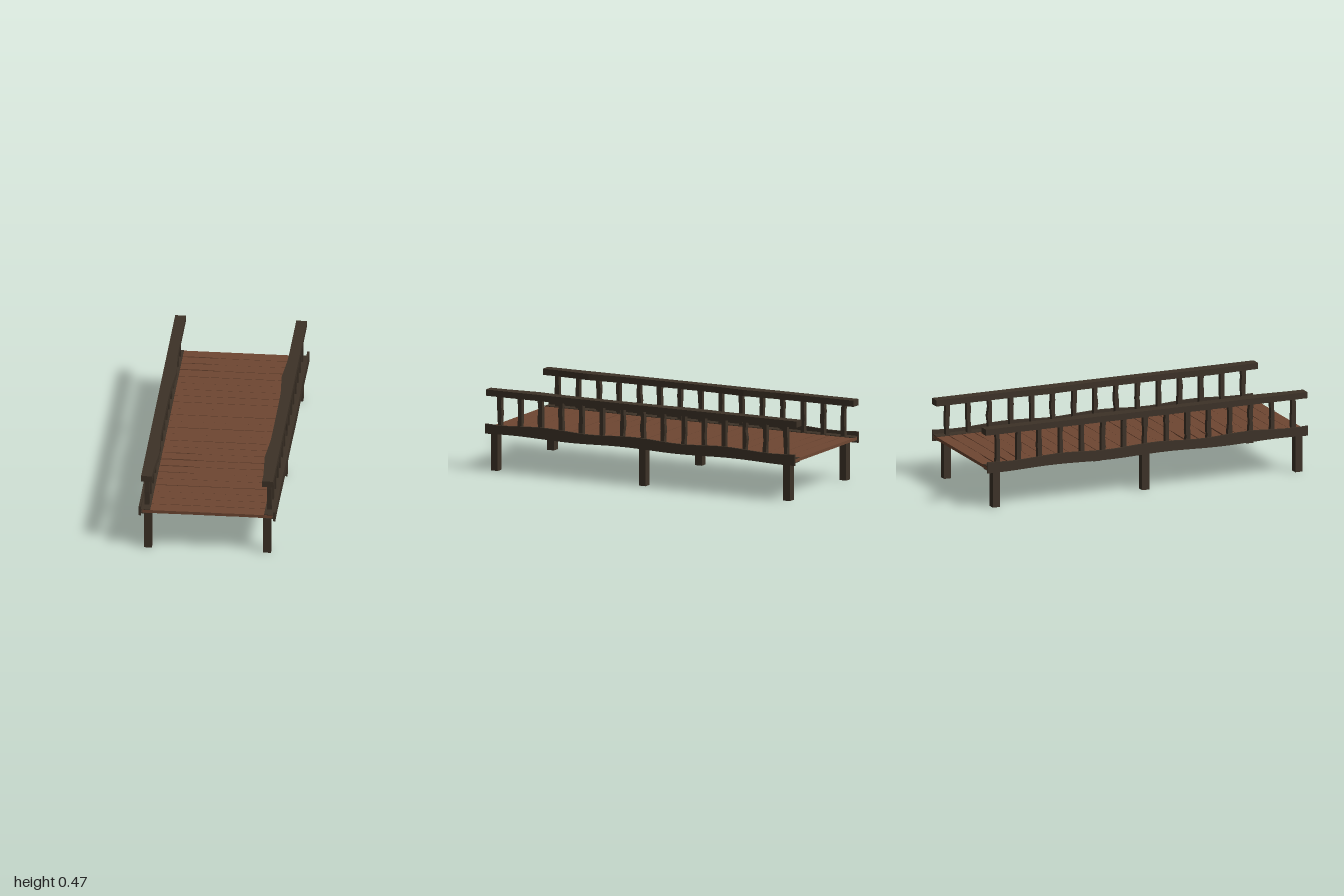
import * as THREE from 'three';

const darkWood = new THREE.MeshStandardMaterial({ color: 0x3d3227, flatShading: true });
const deckWood = new THREE.MeshStandardMaterial({ color: 0x6f4732, flatShading: true });

// Small seeded noise in -1..1
let seed = 7;
const noise = () => {
  seed = (seed * 16807) % 2147483647;
  return (seed / 2147483647) * 2 - 1;
};

// Timber between two corners, with optional segments and a vertex rule
function timber(name, material, [x0, x1], [y0, y1], [z0, z1], segments = [1, 1, 1], rule) {
  const geometry = new THREE.BoxGeometry(x1 - x0, y1 - y0, z1 - z0, ...segments);
  if (rule) {
    const p = geometry.attributes.position;
    const v = new THREE.Vector3();
    for (let i = 0; i < p.count; i++) {
      v.fromBufferAttribute(p, i);
      rule(v);
      p.setXYZ(i, v.x, v.y, v.z);
    }
    geometry.computeVertexNormals();
  }
  const mesh = new THREE.Mesh(geometry, material);
  mesh.name = name;
  mesh.position.set((x0 + x1) / 2, (y0 + y1) / 2, (z0 + z1) / 2);
  return mesh;
}

// Mirrors an x range onto the chosen side
const onSide = (side, a, b) => (side > 0 ? [a, b] : [-b, -a]);

function createDeck() {
  const deck = new THREE.Group();
  deck.name = 'deck';
  const count = 25, pitch = 1.984 / count;
  const openJoints = [1, 2, 3, 16, 17, 18, 19];
  for (let i = 0; i < count; i++) {
    const z = -0.992 + pitch * (i + 0.5);
    const wear = Array.from({ length: 9 }, () => 0.0012 * (1 + noise()));
    // Worn front edge: wider gaps near the ends at the open joints
    if (openJoints.includes(i + 1)) {
      wear[1] = wear[2] = 0.008;
      wear[7] = 0.006;
    }
    const lift = 0.001 * noise();
    const plank = timber('plank', deckWood, [-0.37, 0.37], [0.23, 0.248],
      [z - pitch / 2 + 0.0008, z + pitch / 2 - 0.0008], [8, 1, 1], (v) => {
        const k = Math.round((v.x + 0.37) / 0.0925);
        if (v.z > 0) v.z -= wear[k];
        v.y += lift;
      });
    deck.add(plank);
  }
  return deck;
}

function createSide(side) {
  const group = new THREE.Group();
  group.name = side > 0 ? 'leftSide' : 'rightSide';

  // Handrail with worn bulges along the inner edge
  group.add(timber('handrail', darkWood, onSide(side, 0.315, 0.376), [0.432, 0.468], [-1, 1], [1, 1, 20], (v) => {
    if (v.x * side < 0) {
      const bulge = Math.exp(-(((v.z + 0.3) / 0.13) ** 2)) + Math.exp(-(((v.z - 0.7) / 0.13) ** 2));
      v.x -= side * 0.015 * bulge;
    }
  }));

  // Balusters, slightly uneven along their height
  for (let i = 0; i < 15; i++) {
    const z = 0.92 - i * 0.1314;
    const sway = Array.from({ length: 5 }, () => [0.003 * noise(), 0.002 * noise()]);
    group.add(timber('baluster', darkWood, onSide(side, 0.335, 0.363), [0.235, 0.434],
      [z - 0.012, z + 0.012], [1, 4, 1], (v) => {
        const [shift, swell] = sway[Math.round((v.y + 0.0995) / 0.04975)];
        v.z += shift + Math.sign(v.z) * swell;
      }));
  }

  // Outer fascia board with wavy edges
  group.add(timber('sideBoard', darkWood, onSide(side, 0.378, 0.39), [0.216, 0.276], [-0.995, 0.998], [1, 1, 28], (v) => {
    v.y += v.y > 0
      ? 0.006 * Math.cos((v.z - 0.04) * 10.8)
      : 0.004 * Math.sin(v.z * 9 + 0.6);
  }));

  // Thin strips clamping the planks above and below
  for (const y of [0.2275, 0.2505]) {
    group.add(timber('edgeStrip', darkWood, onSide(side, 0.325, 0.38), [y - 0.0018, y + 0.0018], [-0.992, 0.992]));
  }

  // Support posts
  for (const z of [0.952, 0, -0.929]) {
    group.add(timber('post', darkWood, onSide(side, 0.317, 0.363), [0, 0.231], [z - 0.022, z + 0.022]));
  }
  return group;
}

export function createModel() {
  seed = 7;
  const model = new THREE.Group();
  model.name = 'footbridge';
  model.add(createDeck(), createSide(1), createSide(-1));
  return model;
}
